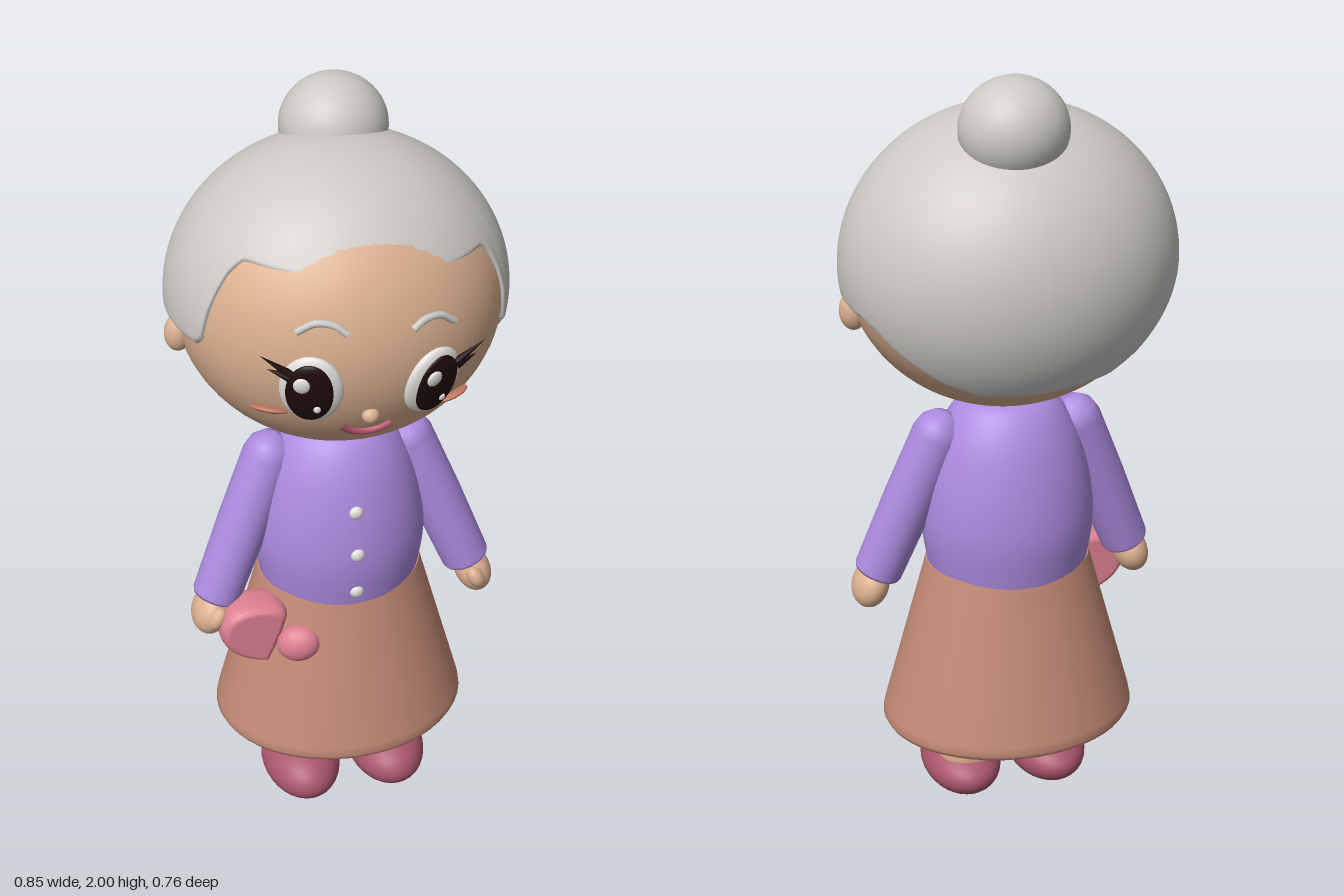
import * as THREE from 'three';

const mat = (name, color) => Object.assign(new THREE.MeshStandardMaterial({ color }), { name });
const V = (x, y, z = 0) => new THREE.Vector3(x, y, z);

export function createModel() {
  const silver = mat('silverHair', 0xcdcac6);
  const skin = mat('skin', 0xdbb090);
  const lilac = mat('lilacCardigan', 0xac8be0);
  const brown = mat('brownSkirt', 0xc48b76);
  const plum = mat('plumShoes', 0xab566d);
  const pink = mat('pinkPouch', 0xdc7f90);
  const white = mat('eyeWhite', 0xe4e2de);
  const dark = mat('darkEye', 0x1e0b0a);
  const lip = mat('lips', 0xbf5a74);
  const blush = mat('blush', 0xc47a63);

  const model = new THREE.Group();
  model.name = 'grandmother';

  function add(parent, name, geometry, material, pos = V(0, 0, 0)) {
    const mesh = new THREE.Mesh(geometry, material);
    mesh.name = name;
    mesh.position.copy(pos);
    parent.add(mesh);
    return mesh;
  }
  const ball = (rx, ry, rz, n = 32) => new THREE.SphereGeometry(1, n, Math.ceil(n * 0.7)).scale(rx, ry, rz);
  // Smooth lathe through a few [radius, height] points
  function lathe(points, depth = 1, curved = true) {
    let pts = points.map(([r, y]) => new THREE.Vector2(r, y));
    if (curved) pts = new THREE.SplineCurve(pts).getPoints(32).map(p => p.setX(Math.max(p.x, 0)));
    return new THREE.LatheGeometry(pts, 48).scale(1, 1, depth);
  }

  // Cardigan with buttons
  add(model, 'cardigan', lathe([[0.207, 0.685], [0.222, 0.78], [0.222, 0.86], [0.206, 0.96],
    [0.175, 1.06], [0.125, 1.135], [0.06, 1.158], [0, 1.16]], 0.89), lilac);
  for (const [y, z] of [[0.97, 0.18], [0.85, 0.197], [0.73, 0.19]])
    add(model, 'button', ball(0.018, 0.018, 0.012, 16), white, V(0, y, z));

  // Flared skirt, closed underneath
  add(model, 'skirt', lathe([[0, 0.235], [0.31, 0.235]], 0.84, false), brown).material.side = THREE.DoubleSide;
  add(model, 'skirt', lathe([[0.31, 0.235], [0.328, 0.239], [0.335, 0.252], [0.331, 0.275],
    [0.215, 0.7]], 0.84, false), brown);
  add(model, 'skirtWaist', lathe([[0.215, 0.699], [0, 0.7]], 0.84, false), brown);

  for (const s of [-1, 1]) {
    const side = s > 0 ? 'left' : 'right';

    // Leg and flat-soled shoe
    add(model, side + 'Leg', new THREE.CylinderGeometry(0.078, 0.078, 0.22, 32), skin, V(s * 0.115, 0.18, 0.007));
    const shoe = ball(0.105, 0.078, 0.158);
    const sp = shoe.attributes.position;
    for (let i = 0; i < sp.count; i++) {
      const lift = sp.getY(i) > 0 ? 1 + sp.getZ(i) * 0.8 : 1;
      sp.setY(i, Math.max(sp.getY(i) * lift, -0.069));
    }
    shoe.computeVertexNormals();
    add(model, side + 'Shoe', shoe, plum, V(s * 0.12, 0.069, 0.047));

    // Sleeve hanging from the shoulder
    const shoulder = V(s * 0.182, 1.058, 0), wrist = V(s * 0.337, 0.672, 0.042);
    const dir = wrist.clone().sub(shoulder), len = dir.length();
    const sleeve = add(model, side + 'Sleeve', lathe([[0, -len], [0.06, -len], [0.063, -len + 0.008], [0.067, -0.2],
      [0.066, 0], [0.057, 0.033], [0.033, 0.057], [0, 0.066]], 1, false), lilac, shoulder);
    sleeve.quaternion.setFromUnitVectors(V(0, -1, 0), dir.normalize());

    // Hand with thumb
    const hand = add(model, side + 'Hand', ball(0.047, 0.062, 0.066), skin, V(s * 0.355, 0.634, 0.05));
    hand.rotation.z = s * 0.35;
    const thumb = add(model, side + 'Thumb', ball(0.022, 0.034, 0.024, 16), skin, V(s * 0.347, 0.645, 0.106));
    thumb.rotation.z = s * 0.5;
  }

  // Soft pouch held against the skirt
  const outline = new THREE.Shape();
  outline.moveTo(-0.233, 0.53);
  outline.bezierCurveTo(-0.28, 0.54, -0.325, 0.57, -0.324, 0.615);
  outline.bezierCurveTo(-0.324, 0.655, -0.29, 0.67, -0.25, 0.668);
  outline.bezierCurveTo(-0.21, 0.665, -0.19, 0.66, -0.19, 0.645);
  outline.quadraticCurveTo(-0.205, 0.59, -0.233, 0.53);
  add(model, 'pouch', new THREE.ExtrudeGeometry(outline, { depth: 0.03, bevelEnabled: true,
    bevelThickness: 0.04, bevelSize: 0.022, bevelSegments: 6, curveSegments: 10 }), pink, V(0, 0, 0.085));
  const tail = add(model, 'pouchTail', ball(0.058, 0.05, 0.04, 20), pink, V(-0.148, 0.572, 0.165));
  tail.rotation.set(-0.2, -0.35, 0.25);

  // Head, tipped slightly to one side
  const R = V(0.4, 0.37, 0.365);
  const head = new THREE.Group();
  head.name = 'head';
  head.position.set(0, 1.515, 0);
  head.rotation.z = -0.07;
  model.add(head);
  add(head, 'face', ball(R.x, R.y, R.z, 64), skin);

  // Hair shell whose hem height follows [angle from the front, height]
  const hem = [[0, 0.18], [0.9, 0.19], [0.97, 0.16], [1.03, 0.08], [1.08, -0.03], [1.14, -0.055], [1.6, -0.058],
    [1.86, -0.065], [2.0, -0.09], [2.17, -0.15], [2.4, -0.22], [2.63, -0.258], [Math.PI, -0.265]];
  const hemAt = a => {
    const i = Math.max(1, hem.findIndex(h => h[0] >= a - 1e-6));
    const [a0, y0] = hem[i - 1], [a1, y1] = hem[i];
    return THREE.MathUtils.lerp(y0, y1, (a - a0) / (a1 - a0));
  };
  const hair = new THREE.SphereGeometry(1, 180, 50);
  const hp = hair.attributes.position, uv = hair.attributes.uv;
  for (let i = 0; i < hp.count; i++) {
    const row = Math.floor(i / 181) / 50, a = ((i % 181) / 180) * Math.PI * 2 - Math.PI;
    const end = Math.acos(hemAt(Math.min(Math.abs(a), Math.PI)) / 0.388);
    const k = Math.max(0, (row - 0.85) / 0.15) * Math.PI / 2;
    const t = end * (0.96 * Math.min(1, row / 0.85) + 0.04 * Math.sin(k));
    const q = 1 - 0.07 * (1 - Math.cos(k));
    hp.setXYZ(i, 0.42 * q * Math.sin(t) * Math.sin(a), 0.388 * q * Math.cos(t),
      0.37 * q * Math.sin(t) * Math.cos(a) - 0.015);
  }
  hair.computeVertexNormals();
  add(head, 'hair', hair, silver);
  add(head, 'hairBun', ball(0.132, 0.126, 0.125, 40), silver, V(0.001, 0.36, -0.148));

  // Places a detail on the face, turned along its surface
  const onFace = (x, y, out = 0) => {
    const p = V(x, y, R.z * Math.sqrt(1 - (x / R.x) ** 2 - (y / R.y) ** 2));
    const n = V(p.x / R.x ** 2, p.y / R.y ** 2, p.z / R.z ** 2).normalize();
    return { p: p.addScaledVector(n, out), n };
  };
  function stick(name, geometry, material, x, y, out) {
    const { p, n } = onFace(x, y, out);
    const mesh = add(head, name, geometry, material, p);
    mesh.lookAt(n.add(p));
    return mesh;
  }
  const faceTube = (pts, r, out) => new THREE.TubeGeometry(
    new THREE.CatmullRomCurve3(pts.map(([x, y]) => onFace(x, y, out).p)), 20, r, 8);

  for (const s of [-1, 1]) {
    const side = s > 0 ? 'left' : 'right';
    add(head, side + 'Ear', ball(0.034, 0.048, 0.034, 24), skin, V(s * 0.392, -0.083, 0.015));

    // Eye, pupil and glints in one group facing outward
    const eye = new THREE.Group();
    eye.name = side + 'Eye';
    const { p, n } = onFace(s * 0.146, -0.073, -0.006);
    eye.position.copy(p);
    eye.lookAt(n.clone().add(p));
    head.add(eye);
    add(eye, 'eyeball', ball(0.075, 0.096, 0.026), white);
    add(eye, 'pupil', ball(0.057, 0.083, 0.018), dark, V(s * 0.002, 0, 0.014));
    add(eye, 'glint', ball(0.02, 0.022, 0.008, 16), white, V(-0.02, 0.032, 0.029));
    add(eye, 'smallGlint', ball(0.009, 0.01, 0.006, 12), white, V(0.018, -0.036, 0.029));

    // Lashes
    for (const [x0, y0, x1, y1] of [[0.197, -0.025, 0.268, 0.022], [0.2, -0.032, 0.25, -0.014]]) {
      const from = V(s * x0, y0, 0.333), to = V(s * x1, y1, 0.318);
      const d = to.clone().sub(from);
      const lash = add(head, side + 'Lash', new THREE.ConeGeometry(0.011, d.length(), 10), dark,
        from.clone().lerp(to, 0.5));
      lash.quaternion.setFromUnitVectors(V(0, 1, 0), d.normalize());
    }

    // Brow and cheek
    add(head, side + 'Brow', faceTube([[s * 0.076, 0.082], [s * 0.105, 0.1], [s * 0.145, 0.101], [s * 0.184, 0.077]],
      0.009, 0.006), silver);
    stick(side + 'Cheek', ball(0.047, 0.03, 0.009, 24), blush, s * 0.224, -0.16, 0.001);
  }

  // Nose and smiling mouth
  stick('nose', ball(0.021, 0.019, 0.02, 20), skin, 0, -0.148, 0.004);
  add(head, 'mouth', faceTube([[-0.062, -0.19], [-0.035, -0.21], [0, -0.218], [0.035, -0.21], [0.062, -0.19]],
    0.011, 0), lip);

  return model;
}
